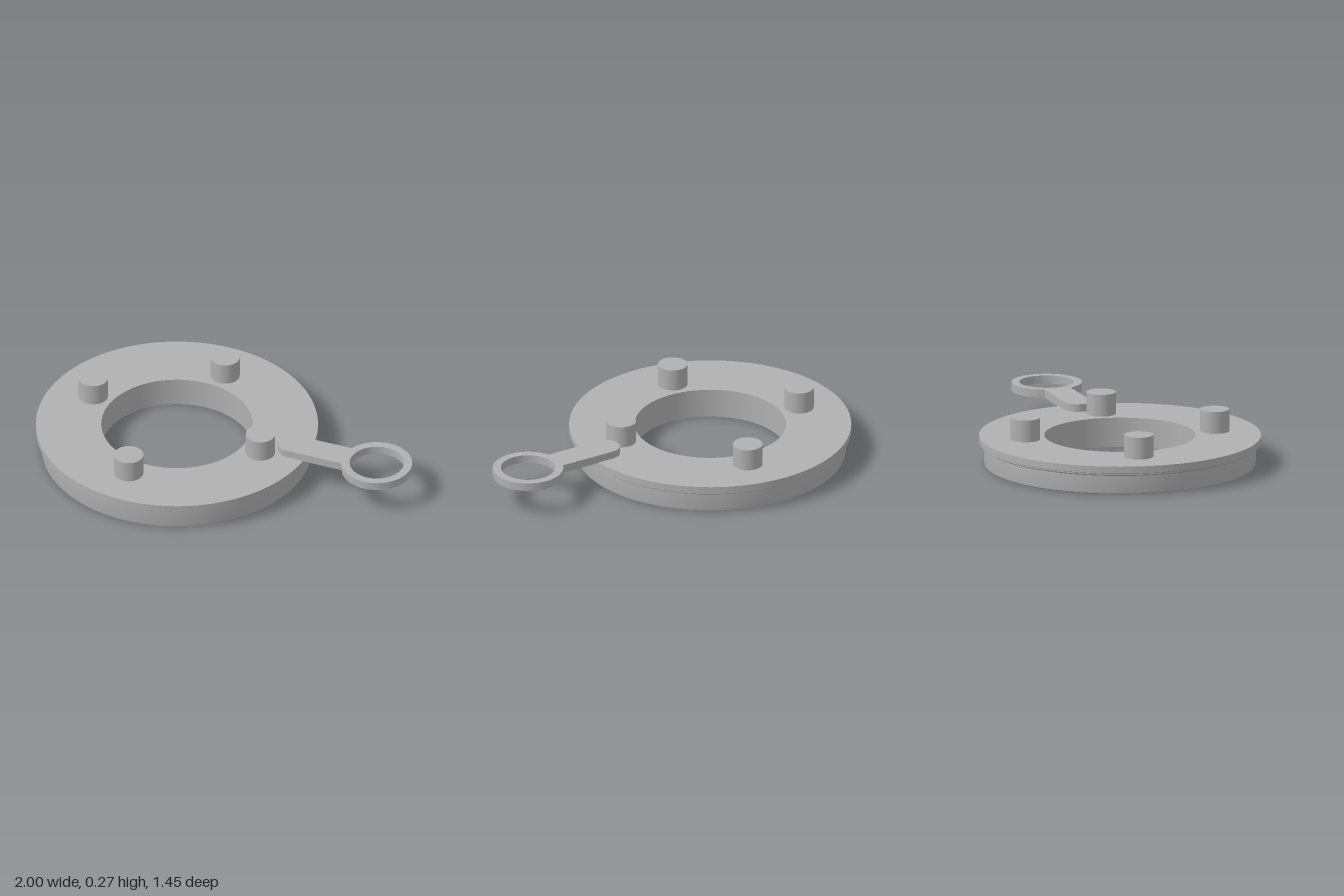
import * as THREE from 'three';
import { toCreasedNormals } from 'three/addons/utils/BufferGeometryUtils.js';

export function createModel() {
  const model = new THREE.Group();
  const grey = new THREE.MeshStandardMaterial({ color: 0xb0b0b0 });
  grey.name = 'grey';
  const add = (name, geometry, parent = model) => {
    const mesh = new THREE.Mesh(geometry, grey);
    mesh.name = name;
    parent.add(mesh);
    return mesh;
  };

  const centreX = -0.273;
  const deck = 0.155;

  // Flanged ring: chamfered foot, straight wall, fine steps below the rim
  const profile = [
    [0.39, 0], [0.688, 0], [0.698, 0.006], [0.7, 0.016], [0.7, 0.1],
    [0.708, 0.106], [0.708, 0.112], [0.717, 0.116], [0.717, 0.122],
    [0.727, 0.122], [0.727, deck], [0.39, deck], [0.39, 0],
  ].map(([r, y]) => new THREE.Vector2(r, y));
  const ring = add('flangedRing', toCreasedNormals(new THREE.LatheGeometry(profile, 128), 0.4));
  ring.position.x = centreX;

  // Four pegs around the deck
  const pegs = new THREE.Group();
  pegs.name = 'pegs';
  pegs.position.x = centreX;
  model.add(pegs);
  const pegGeometry = new THREE.CylinderGeometry(0.076, 0.076, 0.115, 48);
  for (let i = 0; i < 4; i++) {
    const a = i * Math.PI / 2;
    add('peg', pegGeometry, pegs).position.set(0.497 * Math.cos(a), deck + 0.0575, 0.497 * Math.sin(a));
  }

  // Pull tab: rounded arm running into an eyelet, centred on the eyelet
  const half = 0.072, outer = 0.182, inner = 0.14, reach = 0.471;
  const join = Math.PI - Math.asin(half / outer);
  const tab = new THREE.Shape();
  tab.absarc(-reach, 0, half, Math.PI / 2, Math.PI * 1.5, false);
  tab.absarc(0, 0, outer, -join, join, false);
  tab.closePath();
  const eye = new THREE.Path();
  eye.absarc(0, 0, inner, 0, Math.PI * 2, true);
  tab.holes.push(eye);
  const tabGeometry = new THREE.ExtrudeGeometry(tab, { depth: 0.043, bevelEnabled: false, curveSegments: 48 });
  tabGeometry.rotateX(-Math.PI / 2);
  const pullTab = add('pullTab', toCreasedNormals(tabGeometry, 0.4));
  pullTab.position.set(0.818, 0.152, -0.17);
  pullTab.rotation.y = 0.15;

  return model;
}
